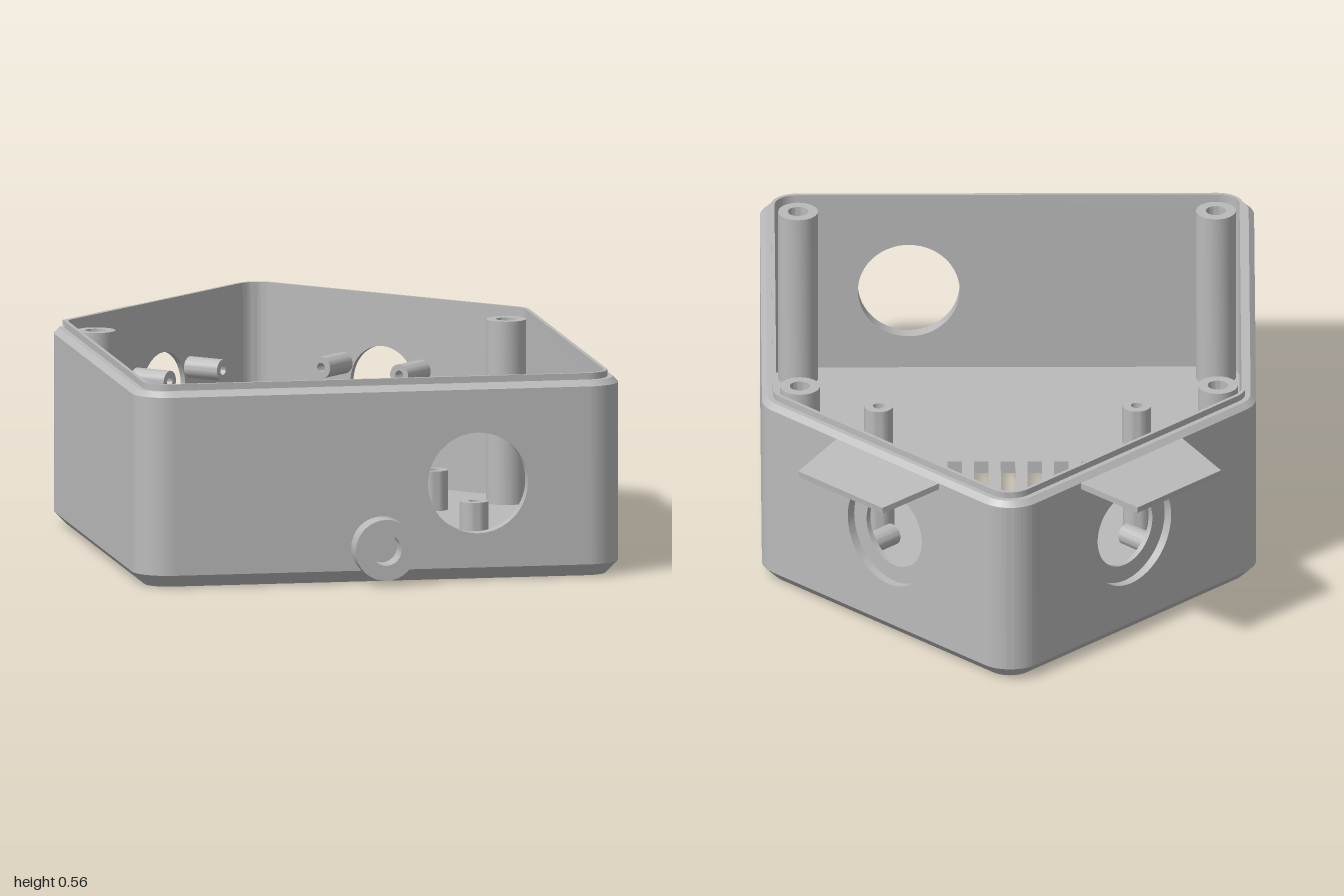
import * as THREE from 'three';
import { toCreasedNormals } from 'three/addons/utils/BufferGeometryUtils.js';

const R = 0.1, T = 0.04, FLOOR = 0.035, WALL_TOP = 0.53;
const DEG = Math.PI / 180;

// Rounded corners of the house-shaped plan: centre x, centre z, start and end angle
const CORNERS = [
  [0.58, 0.83, 0, 90],
  [-0.58, 0.83, 90, 180],
  [-0.58, -0.319, 180, 225],
  [0, -0.899, 225, 315],
  [0.58, -0.319, 315, 360],
];

function outline(inset, steps = 12) {
  const pts = [];
  for (const [cx, cz, a0, a1] of CORNERS) {
    for (let i = 0; i <= steps; i++) {
      const a = (a0 + (a1 - a0) * i / steps) * DEG;
      pts.push(new THREE.Vector2(cx + (R - inset) * Math.cos(a), cz + (R - inset) * Math.sin(a)));
    }
  }
  return pts;
}

// Skin over plan outlines, following a profile of [inset, height]
function loft(profile) {
  const pos = [], idx = [];
  let n = 0;
  for (const [inset, y] of profile) {
    const ring = outline(inset);
    n = ring.length;
    for (const p of ring) pos.push(p.x, y, p.y);
  }
  for (let i = 0; i < profile.length - 1; i++) {
    for (let j = 0; j < n; j++) {
      const k = (j + 1) % n, a = i * n + j, b = i * n + k;
      idx.push(a, a + n, b + n, a, b + n, b);
    }
  }
  const g = new THREE.BufferGeometry();
  g.setAttribute('position', new THREE.Float32BufferAttribute(pos, 3));
  g.setIndex(idx);
  return g;
}

const extrude = (shape, depth) =>
  new THREE.ExtrudeGeometry(shape, { depth, bevelEnabled: false, curveSegments: 48 });

// Plan shape (x, z) extruded downwards from height top
const slab = (shape, depth, top) => extrude(shape, depth).rotateX(Math.PI / 2).translate(0, top, 0);

function rect(x0, y0, x1, y1, C = THREE.Shape) {
  const p = new C();
  p.moveTo(x0, y0);
  p.lineTo(x1, y0);
  p.lineTo(x1, y1);
  p.lineTo(x0, y1);
  p.closePath();
  return p;
}

const circle = (x, y, r) => new THREE.Path().absarc(x, y, r, 0, Math.PI * 2, true);

// Round post standing on y = 0 with a blind or through bore
function post(r, bore, h, depth = h) {
  const pts = [[r, 0], [r, h], [bore, h], [bore, h - depth]];
  if (depth < h) pts.push([0, h - depth]);
  return new THREE.LatheGeometry(pts.map(p => new THREE.Vector2(...p)), 32);
}

export function createModel() {
  const model = new THREE.Group();
  model.name = 'enclosure';
  const grey = new THREE.MeshStandardMaterial({ color: 0xbababa });
  grey.name = 'grey plastic';
  grey.side = THREE.DoubleSide;

  function add(name, geo, parent = model) {
    const mesh = new THREE.Mesh(toCreasedNormals(geo, 0.5), grey);
    mesh.name = name;
    parent.add(mesh);
    return mesh;
  }

  // Floor with vent slots and drain hole
  const floor = new THREE.Shape(outline(FLOOR));
  for (let i = -3; i <= 3; i++) {
    const x = i * 0.0735;
    floor.holes.push(rect(x - 0.02, -0.05, x + 0.02, 0.3, THREE.Path));
  }
  floor.holes.push(circle(0, -0.44, 0.042));
  add('floor', slab(floor, FLOOR, FLOOR));
  add('bottomChamfer', loft([[FLOOR, 0], [0, FLOOR], [T, FLOOR]]));

  // Rim with chamfered shoulder and thin raised lip
  add('rim', loft([[0, WALL_TOP], [0.015, 0.545], [0.03, 0.545], [0.03, 0.563], [T, 0.563], [T, WALL_TOP]]));

  // Rounded wall corners
  for (const [cx, cz, a0, a1] of CORNERS) {
    const s = new THREE.Shape();
    s.absarc(cx, cz, R, a0 * DEG, a1 * DEG, false);
    s.absarc(cx, cz, R - T, a1 * DEG, a0 * DEG, true);
    s.closePath();
    add('wallCorner', slab(s, WALL_TOP - FLOOR, WALL_TOP));
  }

  // Straight walls: local x along the wall, local z outwards, z = 0 on the outer face
  const names = ['frontWall', 'leftOrRightWall', 'backRightWall', 'backLeftWall', 'leftOrRightWall'];
  names[1] = 'rightWall';
  names[4] = 'leftWall';
  CORNERS.forEach(([cx, cz, , end], i) => {
    const [nx, nz] = CORNERS[(i + 1) % 5];
    const a = end * DEG;
    const half = Math.hypot(nx - cx, nz - cz) / 2;
    const wall = new THREE.Group();
    wall.name = names[i];
    wall.position.set((cx + nx) / 2 + R * Math.cos(a), 0, (cz + nz) / 2 + R * Math.sin(a));
    wall.rotation.y = Math.PI / 2 - a;
    model.add(wall);

    const panel = (name, z0, z1, hole) => {
      const s = rect(-half, FLOOR, half, WALL_TOP);
      if (hole) s.holes.push(circle(...hole));
      add(name, extrude(s, z1 - z0).translate(0, 0, z0), wall);
    };

    if (i === 0) {
      // Front opening and cable socket
      panel('frontPanel', -T, 0, [0.27, 0.27, 0.14]);
      add('cableSocket', post(0.085, 0.043, 0.07, 0.068).rotateX(Math.PI / 2).translate(0, 0.1, 0), wall);
    } else if (i === 2 || i === 3) {
      // Angled wall: recessed round window, mounting posts and visor
      const cx0 = i === 3 ? 0.036 : -0.036;
      panel('recessPanel', -0.025, 0, [cx0, 0.31, 0.155]);
      panel('windowPanel', -T, -0.025, [cx0, 0.31, 0.107]);
      for (const dx of [-0.13, 0.13]) {
        for (const y of [0.21, 0.36]) {
          add('windowPost', post(0.03, 0.013, 0.115, 0.08).rotateX(-Math.PI / 2).translate(cx0 + dx, y, -0.035), wall);
        }
      }
      const v = new THREE.Shape();
      v.moveTo(-0.2, -0.01);
      v.lineTo(0.2, -0.01);
      v.lineTo(0.163, 0.187);
      v.lineTo(-0.163, 0.187);
      v.closePath();
      const visor = add('visor', slab(v, 0.018, 0), wall);
      visor.position.set(cx0, WALL_TOP, 0);
      visor.rotation.x = 0.12;
    } else {
      panel('sidePanel', -T, 0);
    }
  });

  // Lid screw pillars and board standoffs, mirrored left and right
  for (const sx of [-1, 1]) {
    for (const z of [-0.265, 0.825]) {
      add('screwPillar', post(0.055, 0.028, 0.51, 0.2)).position.set(sx * 0.575, FLOOR, z);
    }
    for (const z of [-0.175, 0.425]) {
      add('boardStandoff', post(0.04, 0.016, 0.11, 0.08)).position.set(sx * 0.355, FLOOR, z);
    }
  }

  // Ring boss around the drain hole
  add('drainBoss', post(0.11, 0.042, 0.065)).position.set(0, FLOOR, -0.44);

  return model;
}
